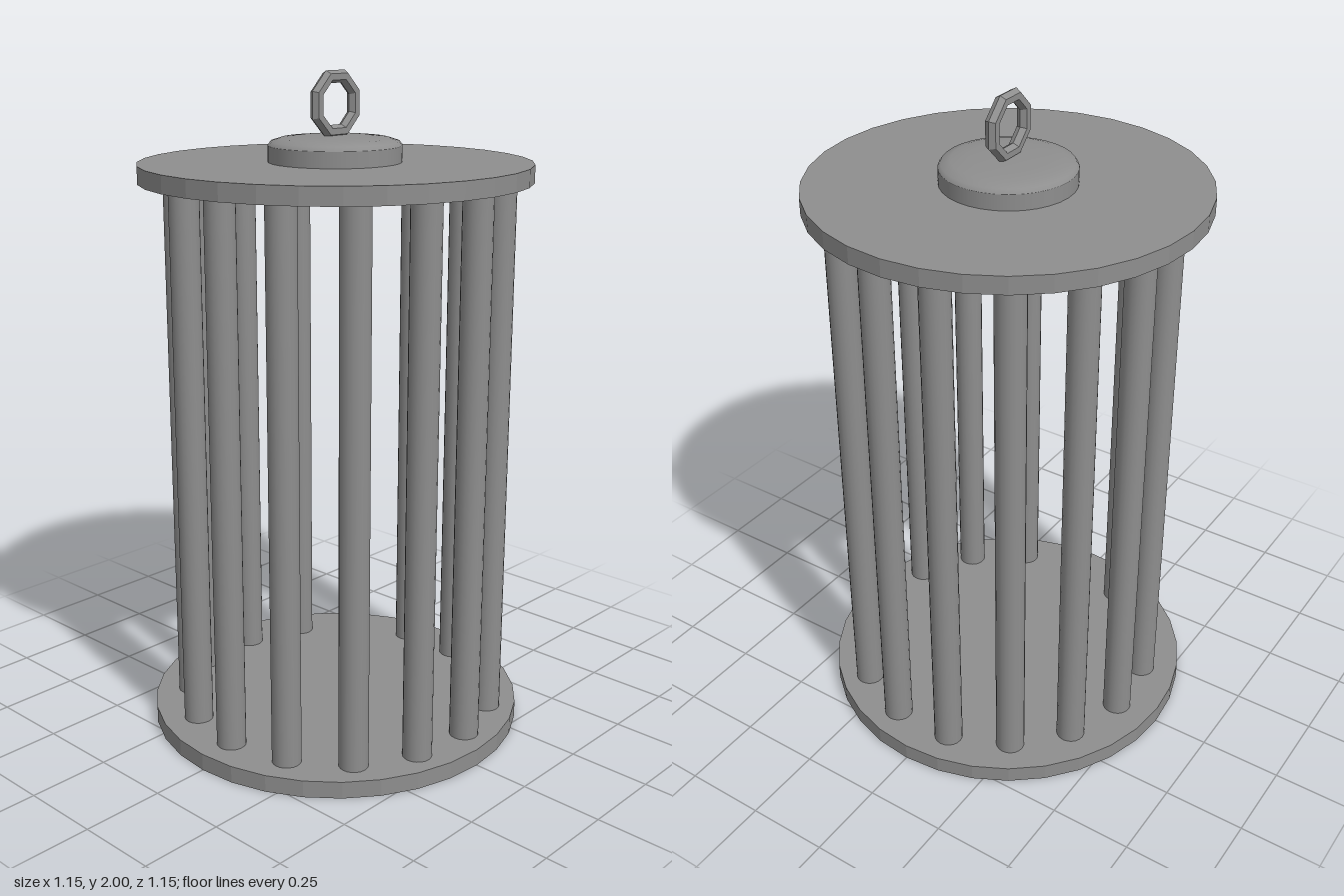
import * as THREE from 'three';

export function createModel() {
  const group = new THREE.Group();
  const color = 0x8e8e8e;
  const smooth = new THREE.MeshStandardMaterial({ color });
  const flat = new THREE.MeshStandardMaterial({ color, flatShading: true });

  const add = (name, geometry, material, x, y, z) => {
    const mesh = new THREE.Mesh(geometry, material);
    mesh.name = name;
    mesh.position.set(x, y, z);
    group.add(mesh);
    return mesh;
  };

  // Floor and roof discs
  const disc = new THREE.CylinderGeometry(0.576, 0.576, 0.052, 32);
  add('floorDisc', disc, flat, 0, 0.026, 0);
  add('roofDisc', disc, flat, 0, 1.715, 0);

  // Ring of vertical bars, one of them on the right (-x)
  const barCount = 15;
  const bar = new THREE.CylinderGeometry(0.044, 0.044, 1.66, 20, 1, true);
  for (let i = 0; i < barCount; i++) {
    const a = Math.PI + (i / barCount) * Math.PI * 2;
    add(`bar${i + 1}`, bar, smooth, 0.002 + 0.473 * Math.cos(a), 0.87, 0.014 + 0.473 * Math.sin(a));
  }

  // Hub: straight collar with a shallow dome on top
  const collar = new THREE.CylinderGeometry(0.196, 0.196, 0.05, 32, 1, true);
  add('hubCollar', collar, smooth, 0, 1.763, -0.002);
  const domeProfile = [[0.196, 0], [0.188, 0.012], [0.16, 0.021], [0.11, 0.026], [0.05, 0.028], [0, 0.029]]
    .map(([r, y]) => new THREE.Vector2(r, y));
  add('hubDome', new THREE.LatheGeometry(domeProfile, 32), smooth, 0, 1.788, -0.002);

  // Octagonal hanging ring of six-sided section, flat side up
  const ring = add('hangingRing', new THREE.TorusGeometry(0.083, 0.0195, 6, 8), flat, 0, 1.905, -0.001);
  ring.rotation.z = Math.PI / 8;

  return group;
}
